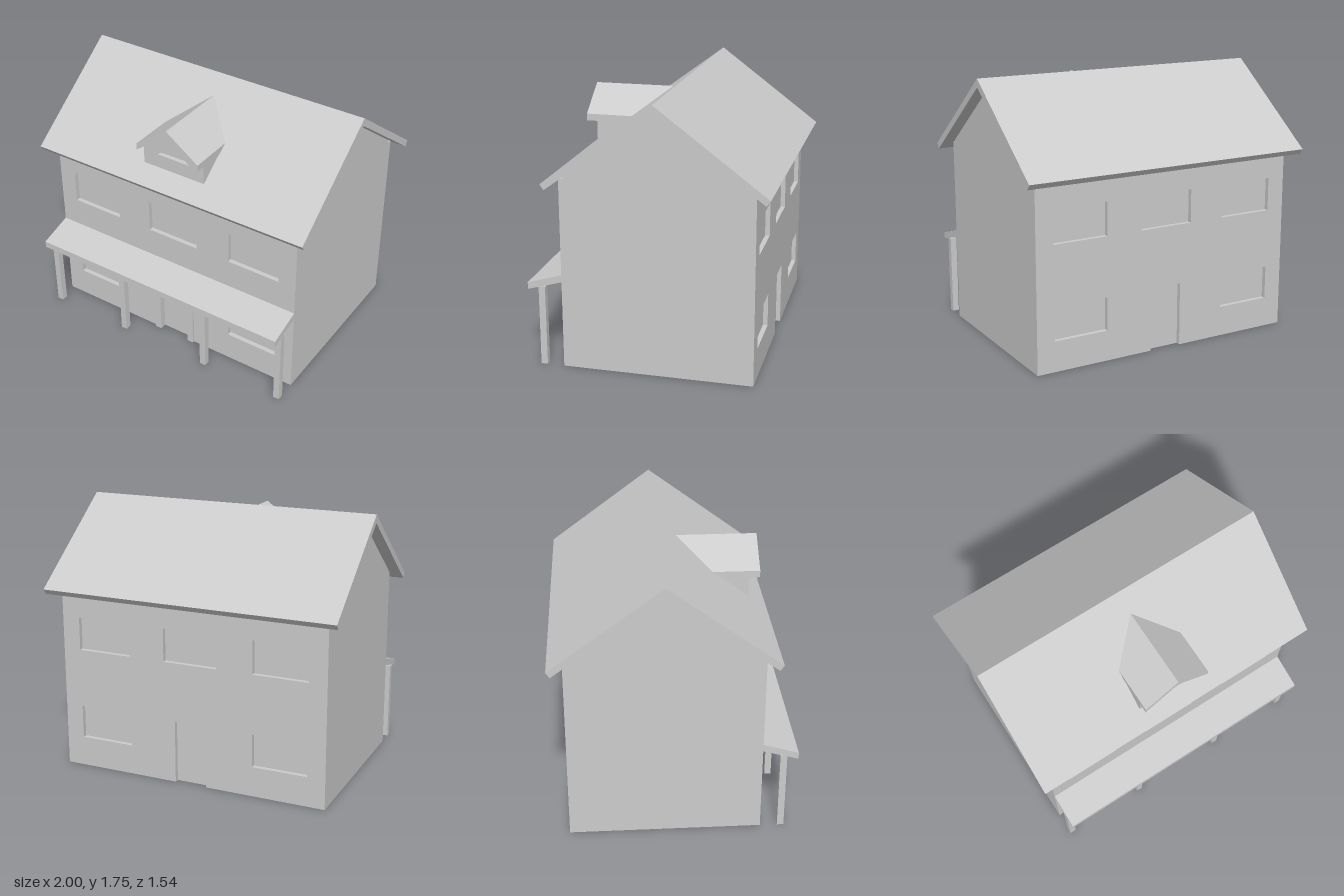
import * as THREE from 'three';

const material = new THREE.MeshStandardMaterial({ color: 0xcccccc, flatShading: true });
const RIDGE_Z = -0.07, RIDGE_Y = 1.75, PITCH = 0.745;
const RECESS = 0.03;

const toPoints = (list) => list.map(([x, y]) => new THREE.Vector2(x, y));

// Extrudes an outline (with optional holes) from z = 0 to z = depth
function extrude(outline, depth, holes = []) {
  const shape = new THREE.Shape(toPoints(outline));
  for (const h of holes) shape.holes.push(new THREE.Path(toPoints(h)));
  return new THREE.ExtrudeGeometry(shape, { depth, bevelEnabled: false });
}

// Extrudes a (z, y) profile along x, centred on x = 0
function extrudeAlongX(profile, width) {
  return extrude(profile, width).translate(0, 0, -width / 2).rotateY(-Math.PI / 2);
}

// Pulls the back end of a z-extruded piece to the slope of the main roof
function trimToRoof(geometry, frontZ) {
  const p = geometry.attributes.position;
  for (let i = 0; i < p.count; i++) {
    if (p.getZ(i) > 0.01) p.setZ(i, frontZ);
    else {
      const slopeZ = RIDGE_Z + (RIDGE_Y - p.getY(i)) / PITCH;
      p.setZ(i, Math.min(slopeZ - 0.005, frontZ - 0.005));
    }
  }
  geometry.computeVertexNormals();
  return geometry;
}

const rect = (x0, x1, y0, y1) => [[x0, y0], [x1, y0], [x1, y1], [x0, y1]];

export function createModel() {
  const house = new THREE.Group();
  house.name = 'house';
  const add = (name, geometry, x = 0, y = 0, z = 0) => {
    const mesh = new THREE.Mesh(geometry, material);
    mesh.name = name;
    mesh.position.set(x, y, z);
    house.add(mesh);
    return mesh;
  };

  // Gabled core of the house; its front and back are the sunken panes and doors
  const front = 0.545, back = -0.68, halfWidth = 0.92;
  const underRoof = (z) => 1.695 - PITCH * Math.abs(z - RIDGE_Z);
  const z0 = back + RECESS, z1 = front - RECESS;
  add('houseBody', extrudeAlongX(
    [[z0, 0], [z1, 0], [z1, underRoof(z1)], [RIDGE_Z, 1.695], [z0, underRoof(z0)]], halfWidth * 2));

  // Front and back walls: five window openings and a doorway notch
  const windows = [rect(-0.185, 0.185, 0.815, 1.035)];
  for (const [a, b] of [[-0.8, -0.43], [0.43, 0.8]]) {
    windows.push(rect(a, b, 0.815, 1.035), rect(a, b, 0.2, 0.42));
  }
  const doorX = 0.11, doorY = 0.42;
  const wallOutline = [
    [-halfWidth, 0], [-doorX, 0], [-doorX, doorY], [doorX, doorY], [doorX, 0],
    [halfWidth, 0], [halfWidth, 1.245], [-halfWidth, 1.245],
  ];
  add('frontWall', extrude(wallOutline, RECESS, windows), 0, 0, z1);
  add('backWall', extrude(wallOutline, RECESS, windows), 0, 0, back);

  // Raised frame around the front door
  add('doorFrame', extrude([
    [-0.155, 0], [-doorX, 0], [-doorX, doorY], [doorX, doorY], [doorX, 0],
    [0.155, 0], [0.155, 0.465], [-0.155, 0.465],
  ], 0.015), 0, 0, front);

  // Main roof
  add('mainRoof', extrudeAlongX([
    [RIDGE_Z, RIDGE_Y], [RIDGE_Z - 0.705, 1.225], [RIDGE_Z - 0.68, 1.19],
    [RIDGE_Z, 1.695], [RIDGE_Z + 0.68, 1.19], [RIDGE_Z + 0.705, 1.225],
  ], 2));

  // Porch roof and posts
  add('porchRoof', extrudeAlongX(
    [[front, 0.57], [0.77, 0.505], [0.77, 0.55], [front, 0.617]], halfWidth * 2));
  for (const x of [-0.9, -0.328, 0.328, 0.9]) {
    add('porchPost', new THREE.BoxGeometry(0.042, 0.53, 0.043), x, 0.265, 0.677);
  }

  // Dormer: front wall with a triangular window, body and roof
  const dormerOutline = [[-0.227, 1.315], [0.227, 1.315], [0.227, 1.452], [0, 1.615], [-0.227, 1.452]];
  const dormerFront = 0.515;
  add('dormerFront', extrude(dormerOutline, RECESS, [[[-0.12, 1.41], [0.12, 1.41], [0, 1.5]]]),
    0, 0, dormerFront - RECESS);
  add('dormerBody', trimToRoof(extrude(dormerOutline, 1), dormerFront - RECESS));
  add('dormerRoof', trimToRoof(extrude([
    [-0.23, 1.445], [0, 1.612], [0.23, 1.445], [0.23, 1.49], [0, 1.655], [-0.23, 1.49],
  ], 1), 0.585));

  return house;
}
